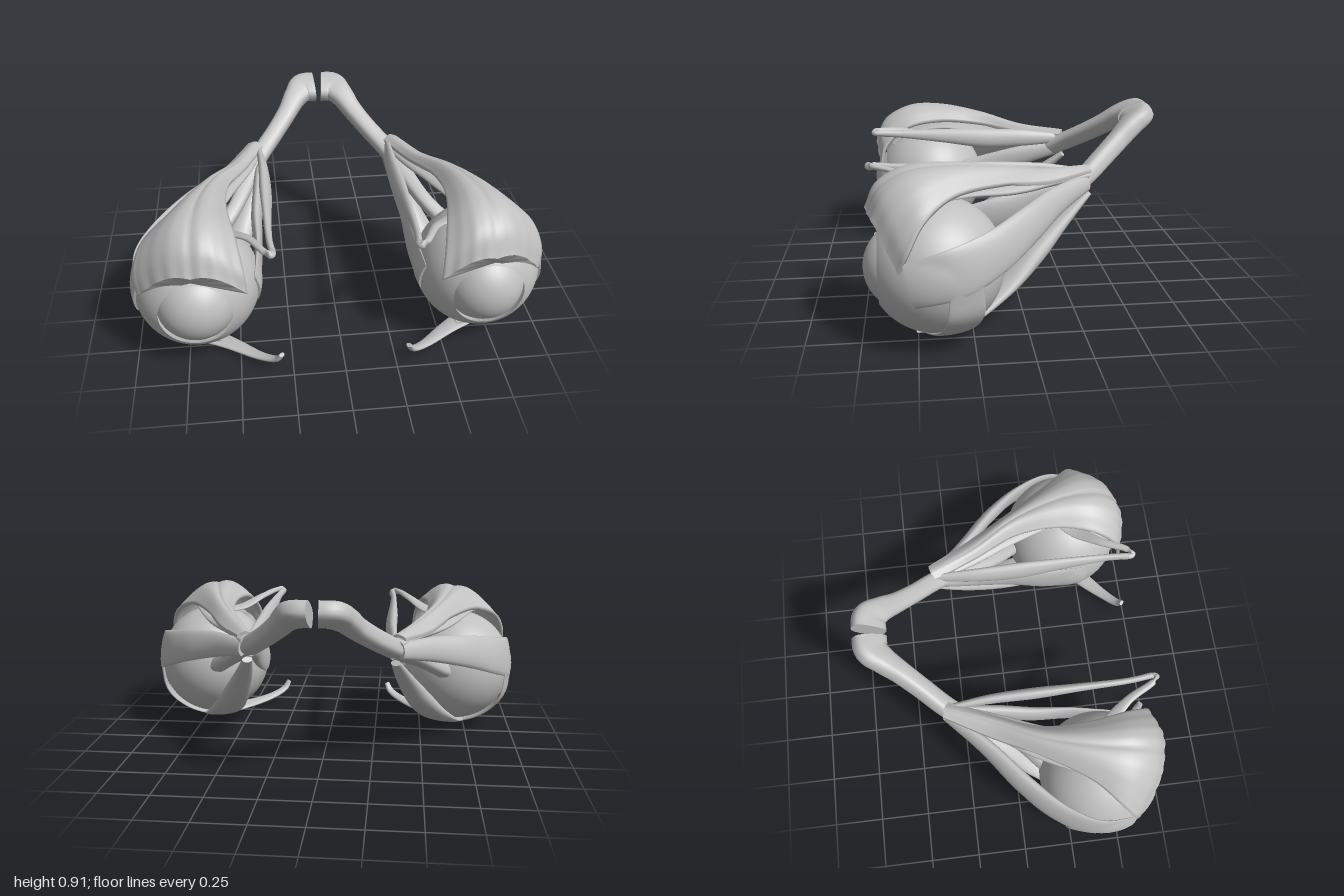
import * as THREE from 'three';

const V = (x, y, z) => new THREE.Vector3(x, y, z);
const EYE = V(0.69, 0.345, 0.41);
const R = 0.305;

// Closed skin over rings of points, with a fan cap at each end
function skin(rings) {
  const pos = [], idx = [], n = rings[0].length, m = rings.length;
  rings.forEach(r => r.forEach(p => pos.push(p.x, p.y, p.z)));
  for (let i = 0; i < m - 1; i++) {
    for (let j = 0; j < n; j++) {
      const a = i * n + j, b = i * n + (j + 1) % n;
      idx.push(a, a + n, b, b, a + n, b + n);
    }
  }
  [rings[0], rings[m - 1]].forEach((ring, end) => {
    const start = pos.length / 3;
    const mid = ring.reduce((s, p) => s.add(p), V(0, 0, 0)).divideScalar(n);
    [...ring, mid].forEach(p => pos.push(p.x, p.y, p.z));
    for (let j = 0; j < n; j++) {
      const a = start + j, b = start + (j + 1) % n;
      if (end) idx.push(start + n, b, a); else idx.push(start + n, a, b);
    }
  });
  const g = new THREE.BufferGeometry();
  g.setAttribute('position', new THREE.Float32BufferAttribute(pos, 3));
  g.setIndex(idx);
  g.computeVertexNormals();
  return g;
}

// Strap along stations [x, y, z, halfWidth, halfThickness]; wraps over the eyeball
function strap(stations, facing, { wrap = true, power = 1, steps = 40, sides = 20 } = {}) {
  const path = new THREE.CatmullRomCurve3(stations.map(s => V(s[0], s[1], s[2])));
  const size = new THREE.CatmullRomCurve3(stations.map(s => V(s[3], s[4], 0)));
  const rings = [];
  for (let i = 0; i <= steps; i++) {
    const u = i / steps, p = path.getPoint(u), t = path.getTangent(u), s = size.getPoint(u);
    const n = p.clone().sub(EYE).normalize().add(facing);
    n.addScaledVector(t, -n.dot(t)).normalize();
    const b = t.clone().cross(n);
    const ring = [];
    for (let j = 0; j < sides; j++) {
      const a = j / sides * Math.PI * 2, c = Math.cos(a), d = Math.sin(a);
      const q = p.clone()
        .addScaledVector(b, s.x * Math.sign(c) * Math.abs(c) ** power)
        .addScaledVector(n, s.y * Math.sign(d) * Math.abs(d) ** power);
      if (wrap) {
        const off = q.clone().sub(EYE), least = d > 0.01 ? R + 0.012 * d : R - 0.006;
        if (off.length() < least) q.copy(EYE).add(off.setLength(least));
      }
      ring.push(q);
    }
    rings.push(ring);
  }
  return skin(rings);
}

// Arched lid muscle from rows of inner, middle and outer points
function lidGeometry() {
  const rows = [
    [[0.33, 0.665, -0.31], [0.365, 0.685, -0.33], [0.405, 0.67, -0.34]],
    [[0.42, 0.67, -0.1], [0.465, 0.7, -0.1], [0.53, 0.66, -0.12]],
    [[0.51, 0.7, 0.12], [0.58, 0.75, 0.12], [0.65, 0.69, 0.1]],
    [[0.52, 0.72, 0.35], [0.65, 0.782, 0.35], [0.8, 0.69, 0.33]],
    [[0.485, 0.69, 0.54], [0.68, 0.77, 0.53], [0.925, 0.62, 0.46]],
    [[0.455, 0.58, 0.665], [0.69, 0.7, 0.65], [0.97, 0.5, 0.53]],
    [[0.445, 0.475, 0.69], [0.69, 0.59, 0.705], [0.955, 0.41, 0.57]],
  ];
  const rails = [0, 1, 2].map(k => new THREE.CatmullRomCurve3(rows.map(r => V(...r[k]))));
  const rings = [], N = 36, M = 40;
  for (let i = 0; i <= M; i++) {
    const u = i / M;
    const arch = new THREE.CatmullRomCurve3(rails.map(r => r.getPoint(u)));
    const top = [], under = [];
    for (let j = 0; j <= N; j++) {
      const v = j / N, p = arch.getPoint(v);
      const out = p.clone().sub(EYE).normalize();
      // Fullness at the shoulders and soft folds towards the free edge
      const full = u * Math.sin(Math.PI * v) * Math.abs(Math.cos(Math.PI * v));
      p.y += 0.055 * full;
      p.addScaledVector(out, 0.02 * full + 0.003 * u ** 4 * Math.sin(v * 50));
      top.push(p);
      under.unshift(p.clone().addScaledVector(u < 0.3 ? V(0, 1, 0) : out, -0.016));
    }
    rings.push([...top, ...under]);
  }
  return skin(rings);
}

function buildEye(material) {
  const eye = new THREE.Group();
  const add = (name, geometry) => {
    const mesh = new THREE.Mesh(geometry, material);
    mesh.name = name;
    eye.add(mesh);
    return mesh;
  };
  // Part of a sphere facing front, between two distances from its axis
  const dome = (name, radius, open, from, to) => {
    const mesh = add(name, new THREE.SphereGeometry(radius, 64, 40, 0, Math.PI * 2, from, to - from));
    mesh.rotation.x = Math.PI / 2;
    mesh.position.set(EYE.x, EYE.y, open);
  };

  // White of the eye with a round opening, and the bulging cornea set into it
  dome('eyeball', R, EYE.z, Math.asin(0.171 / R), Math.PI);
  dome('cornea', 0.2, 0.533, 0, Math.asin(0.176 / 0.2));

  add('opticNerve', strap([
    [0.02, 0.842, -0.645, 0.085, 0.052], [0.08, 0.84, -0.64, 0.083, 0.052],
    [0.13, 0.81, -0.59, 0.064, 0.052], [0.18, 0.755, -0.52, 0.052, 0.05],
    [0.25, 0.69, -0.43, 0.048, 0.048], [0.36, 0.6, -0.29, 0.048, 0.045],
    [0.5, 0.47, 0, 0.038, 0.038], [0.62, 0.38, 0.14, 0.042, 0.042],
  ], V(0, 3, 2.8), { wrap: false, power: 0.7 }));

  add('lateralRectus', strap([
    [0.385, 0.6, -0.32, 0.04, 0.022], [0.55, 0.57, -0.15, 0.065, 0.03],
    [0.74, 0.52, 0.01, 0.085, 0.032], [0.89, 0.46, 0.17, 0.1, 0.025],
    [0.975, 0.41, 0.34, 0.11, 0.016], [0.965, 0.36, 0.53, 0.1, 0.008],
  ], V(1, 0, 0)));

  add('medialRectus', strap([
    [0.345, 0.59, -0.31, 0.035, 0.02], [0.365, 0.54, -0.1, 0.055, 0.028],
    [0.385, 0.47, 0.1, 0.075, 0.028], [0.385, 0.4, 0.3, 0.09, 0.018],
    [0.405, 0.35, 0.5, 0.09, 0.008],
  ], V(-1, 0, 0)));

  add('superiorRectus', strap([
    [0.36, 0.635, -0.32, 0.035, 0.018], [0.46, 0.635, -0.1, 0.055, 0.024],
    [0.57, 0.645, 0.1, 0.08, 0.024], [0.65, 0.665, 0.3, 0.1, 0.016],
    [0.69, 0.635, 0.5, 0.11, 0.01], [0.69, 0.57, 0.62, 0.11, 0.006],
  ], V(0, 1, 0)));

  add('inferiorRectus', strap([
    [0.36, 0.545, -0.335, 0.025, 0.016], [0.41, 0.425, -0.2, 0.05, 0.032],
    [0.48, 0.285, -0.05, 0.072, 0.048], [0.56, 0.15, 0.12, 0.092, 0.036],
    [0.65, 0.045, 0.34, 0.1, 0.014], [0.68, 0.055, 0.52, 0.095, 0.008],
  ], V(0, -1, 0)));

  add('superiorOblique', strap([
    [0.35, 0.64, -0.31, 0.025, 0.014], [0.335, 0.65, -0.1, 0.045, 0.024],
    [0.333, 0.655, 0.1, 0.052, 0.028], [0.335, 0.675, 0.35, 0.036, 0.02],
    [0.335, 0.69, 0.58, 0.02, 0.015], [0.325, 0.7, 0.69, 0.018, 0.015],
  ], V(-1.5, 0, 0)));

  // Tendon doubling back from its pulley to the top of the eyeball
  add('obliqueTendon', strap([
    [0.325, 0.695, 0.66, 0.015, 0.013], [0.33, 0.7, 0.71, 0.016, 0.014],
    [0.36, 0.705, 0.69, 0.016, 0.014], [0.43, 0.69, 0.56, 0.022, 0.012],
    [0.54, 0.645, 0.44, 0.04, 0.01], [0.67, 0.65, 0.36, 0.06, 0.008],
  ], V(0, 1, 0)));

  add('inferiorOblique', strap([
    [0.305, 0.122, 0.73, 0.016, 0.01], [0.328, 0.08, 0.71, 0.022, 0.014],
    [0.4, 0.045, 0.65, 0.028, 0.014], [0.54, 0.026, 0.53, 0.045, 0.015],
    [0.7, 0.025, 0.42, 0.065, 0.014], [0.85, 0.09, 0.34, 0.08, 0.012],
    [0.95, 0.2, 0.295, 0.085, 0.01], [0.975, 0.34, 0.29, 0.075, 0.008],
  ], V(0.3, -0.4, 0)));

  add('lidMuscle', lidGeometry());
  return eye;
}

export function createModel() {
  const model = new THREE.Group();
  const grey = new THREE.MeshStandardMaterial({ color: 0xc0c0c0, side: THREE.DoubleSide });
  grey.name = 'plain grey';
  const left = buildEye(grey);
  left.name = 'leftEye';
  const right = buildEye(grey);
  right.name = 'rightEye';
  right.scale.x = -1;
  model.add(left, right);
  return model;
}
